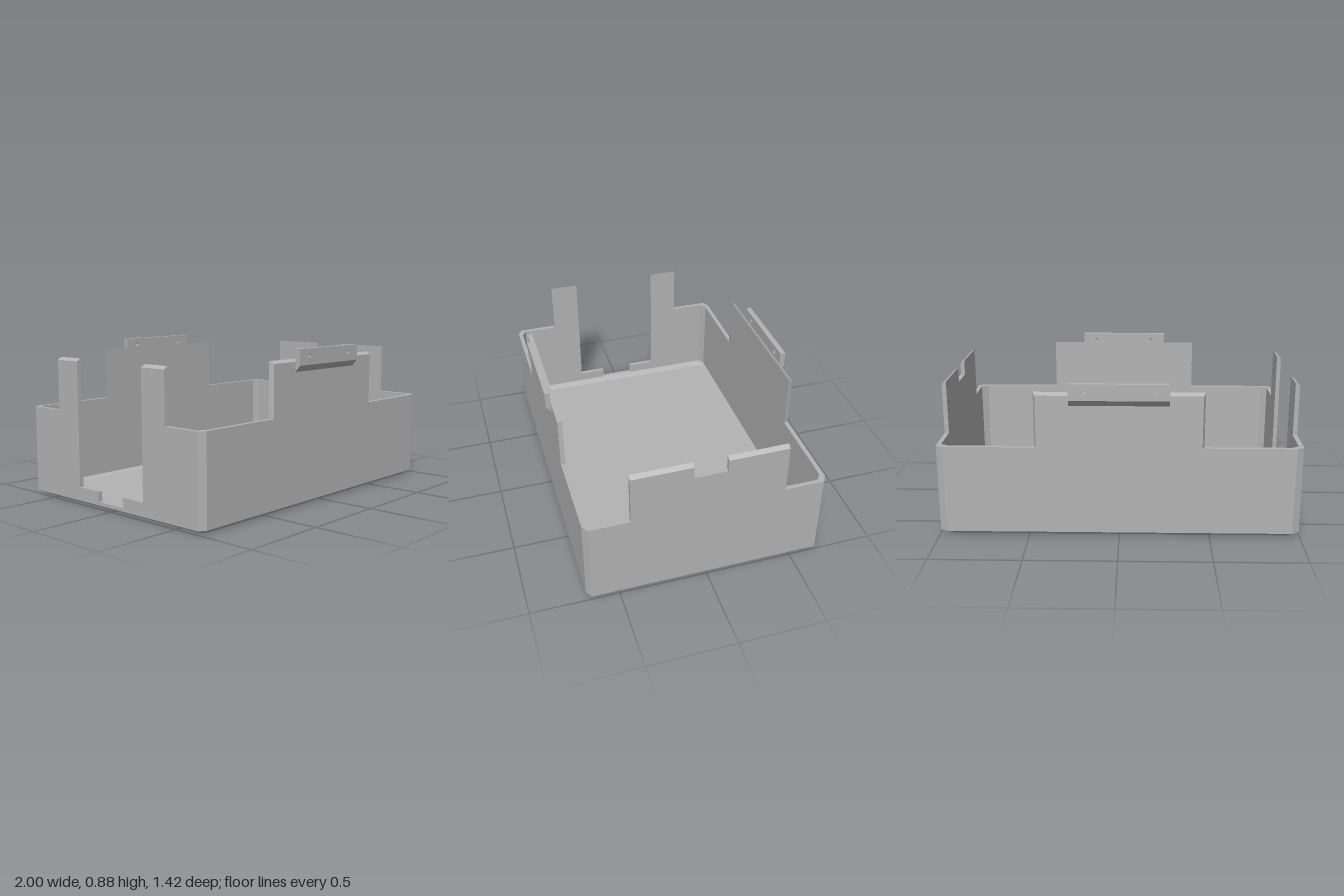
import * as THREE from 'three';

const HX = 1, HZ = 0.68, T = 0.025;   // outer half sizes and wall thickness
const CX = 0.04, CZ = 0.025;          // corner chamfer
const Y0 = 0.02, RIM = 0.515, TOP = 0.82;

// Octagon loop at height y, running from +x towards +z
function octagon(hx, hz, cx, cz, y) {
  return [
    [hx, -hz + cz], [hx, hz - cz], [hx - cx, hz], [-hx + cx, hz],
    [-hx, hz - cz], [-hx, -hz + cz], [-hx + cx, -hz], [hx - cx, -hz],
  ].map(([x, z]) => [x, y, z]);
}

// Flat-shaded skin joining successive loops
function skin(loops) {
  const pos = [];
  for (let k = 0; k + 1 < loops.length; k++) {
    const a = loops[k], b = loops[k + 1], n = a.length;
    for (let i = 0; i < n; i++) {
      const j = (i + 1) % n;
      pos.push(...a[i], ...b[i], ...b[j], ...a[i], ...b[j], ...a[j]);
    }
  }
  const g = new THREE.BufferGeometry();
  g.setAttribute('position', new THREE.Float32BufferAttribute(pos, 3));
  g.computeVertexNormals();
  return g;
}

// Extruded panel whose vertices are adjusted by rule(vector, isOuterFace)
function panel(points, depth, rule, holes = []) {
  const shape = new THREE.Shape(points.map(([x, y]) => new THREE.Vector2(x, y)));
  for (const [x, y, r] of holes) shape.holes.push(new THREE.Path().absarc(x, y, r, 0, Math.PI * 2, true));
  const g = new THREE.ExtrudeGeometry(shape, { depth, bevelEnabled: false, curveSegments: 6 });
  const p = g.attributes.position, v = new THREE.Vector3();
  for (let i = 0; i < p.count; i++) {
    v.fromBufferAttribute(p, i);
    rule(v, v.z > depth / 2);
    p.setXYZ(i, v.x, v.y, v.z);
  }
  g.computeVertexNormals();
  return g;
}

// Complete a symmetric outline from its right half, listed bottom to top
const mirrored = (half) => [...half, ...half.slice().reverse().map(([x, y]) => [-x, y])];

export function createModel() {
  const model = new THREE.Group();
  const grey = new THREE.MeshStandardMaterial({ color: 0xb3b3b3 });
  grey.name = 'casingGrey';
  const add = (name, geometry, angle = 0, offset = 0) => {
    const m = new THREE.Mesh(geometry, grey);
    m.name = name;
    m.rotation.y = angle;
    m.position.set(Math.sin(angle) * offset, 0, Math.cos(angle) * offset);
    model.add(m);
    return m;
  };

  // Floor tray with chamfered edges outside and inside
  add('floor', skin([
    octagon(0, 0, 0, 0, 0),
    octagon(HX - CX, HZ - CZ, 0.03, 0.02, 0),
    octagon(HX, HZ, CX, CZ, Y0),
    octagon(HX - T, HZ - T, CX, CZ, 0.04),
    octagon(HX - T - CX, HZ - T - CZ, 0.03, 0.02, 0.025),
    octagon(0, 0, 0, 0, 0.025),
  ]));

  // Top edges slope down outward; panel ends are mitred at the corners
  const wallRule = (end, tab) => (v, outer) => {
    const x = Math.abs(v.x), s = Math.sign(v.x);
    if (outer && v.y > 0.8) v.y -= 0.015;
    if (!outer && x > end - 0.001) v.x = s * (end - T);
    if (outer && tab && Math.abs(x - tab) < 0.001) v.x = s * (tab - 0.012);
  };

  // Front and back walls with a raised middle tab
  const longEnd = HX - CX, tab = 0.462;
  const longWall = panel(mirrored([
    [longEnd, Y0], [longEnd, RIM], [tab, RIM], [tab, TOP],
  ]), T, wallRule(longEnd, tab));
  add('frontWall', longWall, 0, HZ - T);
  add('backWall', longWall, Math.PI, HZ - T);

  // Left wall with a shallow notch in its raised part
  const sideEnd = HZ - CZ;
  add('leftWall', panel(mirrored([
    [sideEnd, Y0], [sideEnd, RIM], [0.43, RIM], [0.43, TOP - 0.005], [0.093, TOP - 0.005], [0.093, 0.73],
  ]), T, wallRule(sideEnd)), Math.PI / 2, HX - T);

  // Right wall with a deep stepped opening between two posts
  add('rightWall', panel(mirrored([
    [sideEnd, Y0], [sideEnd, RIM], [0.43, RIM], [0.43, TOP - 0.005],
    [0.26, TOP - 0.005], [0.26, 0.097], [0.1, 0.097], [0.1, 0.04],
  ]), T, wallRule(sideEnd)), -Math.PI / 2, HX - T);

  // Chamfered corner posts
  for (const sx of [1, -1]) for (const sz of [1, -1]) {
    const pts = [
      [HX - CX, HZ], [HX - CX - T, HZ - T], [HX - T, HZ - CZ - T], [HX, HZ - CZ],
    ].map(([x, z]) => new THREE.Vector2(sx * x, -sz * z));
    const g = new THREE.ExtrudeGeometry(new THREE.Shape(pts), { depth: RIM - Y0, bevelEnabled: false });
    g.rotateX(-Math.PI / 2).translate(0, Y0, 0);
    add('cornerPost', g);
  }

  // Screw flanges with a sloped underside and two through holes
  const flange = panel(mirrored([[0.27, 0.75], [0.27, 0.875]]), 0.03, (v, outer) => {
    if (outer && v.y < 0.77) v.y = 0.785;
  }, [[-0.185, 0.835, 0.011], [0.185, 0.835, 0.011]]);
  add('frontFlange', flange, 0, HZ);
  add('backFlange', flange, Math.PI, HZ);

  return model;
}
